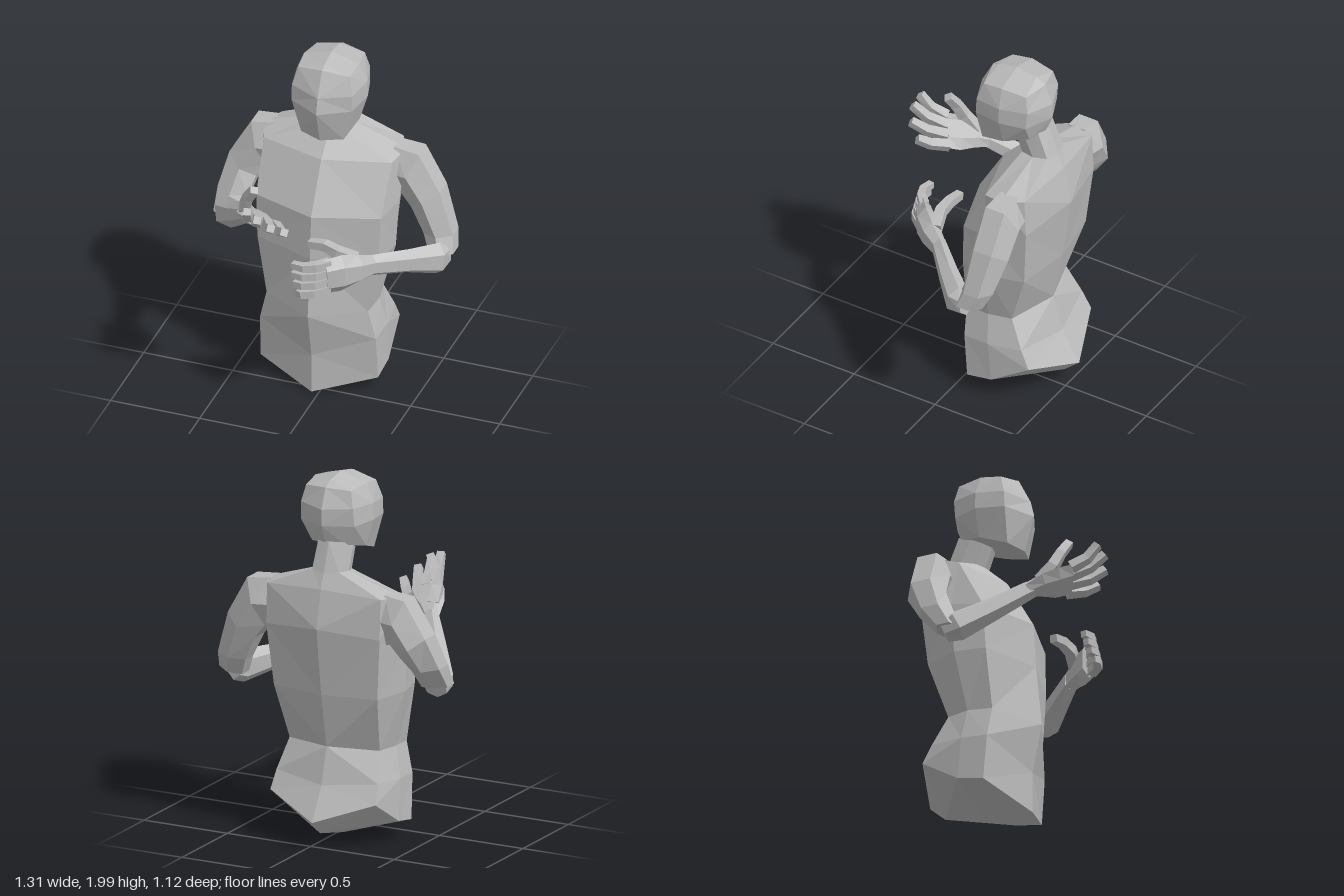
import * as THREE from 'three';

const grey = new THREE.MeshStandardMaterial({ color: 0xbbbbbb });
grey.name = 'plain grey';

// Skins a stack of rings (each running front, +x, back, -x) and closes both ends
function loft(name, rings) {
  const pos = [];
  const tri = (...pts) => pts.forEach((p) => pos.push(p.x, p.y, p.z));
  const middle = (ring) => ring.reduce((s, p) => s.add(p), new THREE.Vector3()).divideScalar(ring.length);
  const n = rings[0].length, last = rings[rings.length - 1];
  const first = middle(rings[0]), end = middle(last);
  for (let i = 0; i < n; i++) {
    const j = (i + 1) % n;
    for (let r = 0; r + 1 < rings.length; r++) {
      const a = rings[r], b = rings[r + 1];
      // split each quad along its shorter diagonal
      if (a[i].distanceTo(b[j]) < a[j].distanceTo(b[i])) {
        tri(a[i], a[j], b[j]);
        tri(a[i], b[j], b[i]);
      } else {
        tri(a[i], a[j], b[i]);
        tri(a[j], b[j], b[i]);
      }
    }
    tri(first, rings[0][j], rings[0][i]);
    tri(end, last[i], last[j]);
  }
  // unshared corners give flat facets
  const geo = new THREE.BufferGeometry();
  geo.setAttribute('position', new THREE.Float32BufferAttribute(pos, 3));
  geo.computeVertexNormals();
  const mesh = new THREE.Mesh(geo, grey);
  mesh.name = name;
  return mesh;
}

// Mirrors half a ring (front centre ... back centre) about x = cx
function mirrorRing(cx, half) {
  const left = half.map(([x, y, z]) => new THREE.Vector3(cx + x, y, z));
  const right = half.slice(1, -1).reverse().map(([x, y, z]) => new THREE.Vector3(cx - x, y, z));
  return [...left, ...right];
}

// Faceted tube through stations [x, y, z, thickness radius, width radius]
function limb(name, stations, sides = 6, ref = [0, 1, 0]) {
  const pts = stations.map((s) => new THREE.Vector3(s[0], s[1], s[2]));
  const up = new THREE.Vector3(...ref);
  const rings = stations.map((s, k) => {
    const t = pts[Math.min(k + 1, pts.length - 1)].clone().sub(pts[Math.max(k - 1, 0)]).normalize();
    const side = t.clone().cross(up).normalize();
    const wide = side.clone().cross(t);
    // reversed so the faces point outward
    return Array.from({ length: sides }, (_, i) => {
      const a = ((i + 0.5) / sides) * Math.PI * 2;
      return pts[k].clone()
        .addScaledVector(side, Math.cos(a) * s[3])
        .addScaledVector(wide, Math.sin(a) * (s[4] ?? s[3]));
    }).reverse();
  });
  return loft(name, rings);
}

// Six-sided upper arm from stations [outer x, outer y, inner x, inner y, z, half depth]
function upperArm(name, dir, stations) {
  return loft(name, stations.map(([ox, oy, ix, iy, z, h]) => Array.from({ length: 6 }, (_, i) => {
    const a = ((i + 0.5) / 6) * Math.PI * 2, c = Math.cos(a) / Math.cos(Math.PI / 6) / 2;
    return new THREE.Vector3((ox + ix) / 2 + (ox - ix) * c, (oy + iy) / 2 + (oy - iy) * c, z + dir * h * Math.sin(a));
  })));
}

// Four-sided finger from knuckle through its joints to the tip
function finger(name, points, r, ref) {
  return limb(name, points.map((p, i) => [...p, r * (1.1 - 0.12 * i)]), 4, ref);
}

function createTorso() {
  const rows = [
    // underside centre line, then the pelvis rim
    [[0, 0.01, 0.05], [0, 0.012, -0.08], [0, 0.02, -0.22], [0, 0.08, -0.47], [0, 0.16, -0.56]],
    [[0, 0.01, 0.05], [0.33, 0.1, -0.07], [0.335, 0.13, -0.22], [0.315, 0.27, -0.44], [0, 0.16, -0.56]],
    // hips and waist
    [[0, 0.24, 0.05], [0.325, 0.35, -0.05], [0.335, 0.36, -0.2], [0.305, 0.37, -0.39], [0, 0.34, -0.455]],
    [[0, 0.51, 0.105], [0.285, 0.52, -0.04], [0.3, 0.53, -0.18], [0.27, 0.53, -0.31], [0, 0.54, -0.4]],
    // ribs and chest
    [[0, 0.85, 0.07], [0.34, 0.85, -0.05], [0.375, 0.85, -0.22], [0.31, 0.84, -0.41], [0, 0.84, -0.46]],
    [[0, 1.1, 0.055], [0.35, 1.1, -0.06], [0.39, 1.12, -0.23], [0.34, 1.18, -0.44], [0, 1.21, -0.51]],
    // shoulder line, neck base and neck top
    [[0, 1.37, -0.1], [0.36, 1.37, -0.2], [0.4, 1.4, -0.32], [0.34, 1.4, -0.43], [0, 1.42, -0.465]],
    [[0, 1.49, -0.23], [0.07, 1.49, -0.25], [0.095, 1.5, -0.33], [0.08, 1.51, -0.41], [0, 1.5, -0.43]],
    [[0, 1.6, -0.19], [0.07, 1.6, -0.21], [0.09, 1.63, -0.27], [0.075, 1.66, -0.35], [0, 1.66, -0.375]],
  ];
  return loft('torsoAndNeck', rows.map((r) => mirrorRing(-0.04, r)));
}

function createHead() {
  const rows = [
    // jaw, cheeks, brow, crown edge, crown ridge
    [[0, 1.55, -0.01], [0.12, 1.56, -0.05], [0.155, 1.61, -0.2], [0.1, 1.64, -0.33], [0, 1.64, -0.365]],
    [[0, 1.74, 0.045], [0.17, 1.75, -0.04], [0.2, 1.76, -0.2], [0.16, 1.75, -0.34], [0, 1.75, -0.41]],
    [[0, 1.83, 0.025], [0.17, 1.84, -0.045], [0.198, 1.85, -0.2], [0.155, 1.85, -0.35], [0, 1.84, -0.41]],
    [[0, 1.965, -0.045], [0.145, 1.94, -0.075], [0.155, 1.955, -0.19], [0.135, 1.94, -0.33], [0, 1.95, -0.365]],
    [[0, 1.97, -0.05], [0, 1.98, -0.085], [0, 2.0, -0.19], [0, 1.98, -0.31], [0, 1.95, -0.365]],
  ];
  return loft('head', rows.map((r) => mirrorRing(-0.015, r)));
}

function createLeftArm() {
  const arm = new THREE.Group();
  arm.name = 'leftArm';
  arm.add(upperArm('leftUpperArm', 1, [
    [0.3, 1.415, 0.3, 1.14, -0.335, 0.1], [0.44, 1.4, 0.335, 1.15, -0.335, 0.115],
    [0.56, 1.19, 0.4, 1.07, -0.33, 0.11], [0.64, 0.95, 0.475, 0.93, -0.305, 0.088],
    [0.655, 0.86, 0.52, 0.83, -0.265, 0.08],
  ]));
  arm.add(limb('leftForearm', [
    [0.595, 0.845, -0.25, 0.05, 0.07], [0.58, 0.84, -0.19, 0.068, 0.092],
    [0.46, 0.875, -0.06, 0.055, 0.07], [0.3, 0.905, 0.1, 0.04, 0.062],
  ]));
  arm.add(limb('leftPalm', [
    [0.32, 0.9, 0.08, 0.038, 0.06], [0.26, 0.915, 0.17, 0.055, 0.085],
    [0.2, 0.92, 0.24, 0.055, 0.11], [0.13, 0.915, 0.3, 0.045, 0.105],
  ]));
  for (let i = 0; i < 4; i++) {
    const y = 0.99 - i * 0.047, d = i * 0.012;
    arm.add(finger('leftFinger' + (i + 1), [
      [0.15, y, 0.28 + d / 2], [0.09, y, 0.335 + d], [0.03, y - 0.003, 0.36 + d],
      [-0.035 + i * i * 0.005, y - 0.005, 0.35 + d],
    ], 0.033));
  }
  arm.add(finger('leftThumb', [[0.25, 0.96, 0.15], [0.15, 1.0, 0.175], [0.08, 1.02, 0.165], [-0.01, 1.01, 0.158]], 0.04));
  return arm;
}

function createRightArm() {
  const arm = new THREE.Group();
  arm.name = 'rightArm';
  arm.add(upperArm('rightUpperArm', -1, [
    [-0.38, 1.415, -0.38, 1.14, -0.335, 0.1], [-0.5, 1.4, -0.415, 1.15, -0.335, 0.115],
    [-0.615, 1.2, -0.465, 1.08, -0.315, 0.115], [-0.655, 1.02, -0.49, 0.99, -0.24, 0.1],
    [-0.655, 0.9, -0.5, 0.88, -0.16, 0.075],
  ]));
  arm.add(limb('rightForearm', [
    [-0.585, 0.88, -0.19, 0.06, 0.06], [-0.565, 0.91, -0.13, 0.088, 0.085],
    [-0.46, 1.02, 0.03, 0.065, 0.065], [-0.34, 1.15, 0.2, 0.042, 0.05],
  ]));
  const across = [-0.14, 0.09, 0.11]; // little finger to index
  arm.add(limb('rightPalm', [
    [-0.355, 1.14, 0.18, 0.038, 0.045], [-0.31, 1.175, 0.25, 0.045, 0.08],
    [-0.255, 1.2, 0.31, 0.045, 0.105], [-0.205, 1.225, 0.365, 0.034, 0.105],
  ], 6, across));
  const tips = [[-0.22, 1.385, 0.535], [-0.16, 1.35, 0.545], [-0.095, 1.295, 0.515], [-0.045, 1.24, 0.445]];
  tips.forEach((tip, i) => {
    const u = i / 3;
    const base = [-0.265 + 0.115 * u, 1.265 - 0.08 * u, 0.4 - 0.09 * u];
    const mid = base.map((b, k) => b + (tip[k] - b) * 0.5 + [0.008, -0.012, 0.012][k]);
    arm.add(finger('rightFinger' + (i + 1), [base, mid, tip], 0.033, across));
  });
  arm.add(finger('rightThumb', [[-0.33, 1.19, 0.25], [-0.315, 1.27, 0.32], [-0.285, 1.35, 0.35], [-0.24, 1.42, 0.375]], 0.04, across));
  return arm;
}

export function createModel() {
  const model = new THREE.Group();
  model.name = 'mannequinBust';
  model.add(createTorso(), createHead(), createLeftArm(), createRightArm());
  return model;
}
